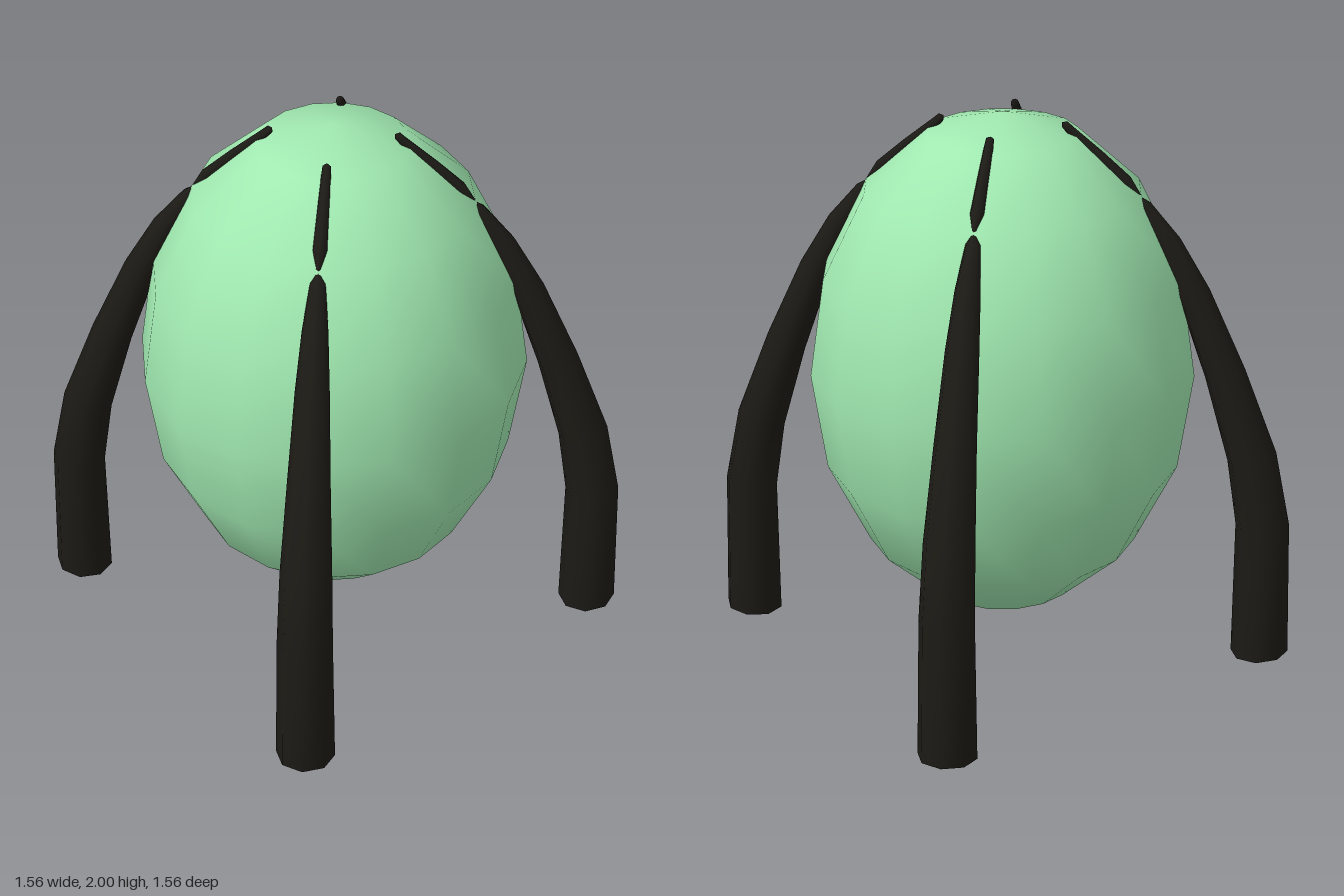
import * as THREE from 'three';

const SIDES = 8;
const FOOT_TILT = 0.07;

// Leg centre line and thickness from foot to tip: [x and z offset, y, radius]
const LEG = [
  [0.675, 0.01, 0.104], [0.67, 0.52, 0.096], [0.637, 0.78, 0.089], [0.563, 1.09, 0.073],
  [0.48, 1.38, 0.058], [0.415, 1.56, 0.044], [0.352, 1.69, 0.026], [0.341, 1.715, 0.01],
  [0.335, 1.73, 0.01], [0.305, 1.775, 0.024], [0.24, 1.86, 0.02], [0.165, 1.95, 0.016],
  [0.153, 1.967, 0.014], [0.147, 1.973, 0],
];

// Tapered eight-sided sweep lying in the local x-y plane
function legGeometry() {
  const path = LEG.map(([s, y]) => new THREE.Vector2(s * Math.SQRT2, y));
  const positions = [];
  const indices = [];
  path.forEach((p, i) => {
    const before = path[Math.max(i - 1, 0)];
    const after = path[Math.min(i + 1, path.length - 1)];
    const dir = i === 0
      ? new THREE.Vector2(-Math.sin(FOOT_TILT), Math.cos(FOOT_TILT))
      : after.clone().sub(before).normalize();
    const r = LEG[i][2];
    for (let j = 0; j < SIDES; j++) {
      const a = (j / SIDES) * Math.PI * 2;
      const out = r * Math.cos(a);
      positions.push(p.x + dir.y * out, p.y - dir.x * out, r * Math.sin(a));
      if (i < path.length - 1) {
        const k = (j + 1) % SIDES;
        const A = i * SIDES + j, B = i * SIDES + k;
        indices.push(A, A + SIDES, B, B, A + SIDES, B + SIDES);
      }
    }
  });
  const geometry = new THREE.BufferGeometry();
  geometry.setAttribute('position', new THREE.Float32BufferAttribute(positions, 3));
  geometry.setIndex(indices);
  geometry.computeVertexNormals();
  return geometry;
}

export function createModel() {
  const model = new THREE.Group();
  const green = new THREE.MeshStandardMaterial({ color: 0xa0e8b0 });
  const black = new THREE.MeshStandardMaterial({ color: 0x1c1a15 });

  // Egg-shaped body
  const bodyGeometry = new THREE.SphereGeometry(1, 16, 8).scale(0.688, 0.928, 0.688);
  const body = new THREE.Mesh(bodyGeometry, green);
  body.name = 'eggBody';
  body.position.y = 1.072;
  model.add(body);

  // Four legs on the diagonals, each closed by a flat sole
  const shaftGeometry = legGeometry();
  const [s, y, r] = LEG[0];
  const soleGeometry = new THREE.CircleGeometry(r, SIDES)
    .rotateX(Math.PI / 2).rotateZ(FOOT_TILT).translate(s * Math.SQRT2, y, 0);
  ['backLeft', 'backRight', 'frontRight', 'frontLeft'].forEach((place, i) => {
    const leg = new THREE.Group();
    leg.name = place + 'Leg';
    const shaft = new THREE.Mesh(shaftGeometry, black);
    shaft.name = 'legShaft';
    const sole = new THREE.Mesh(soleGeometry, black);
    sole.name = 'legSole';
    leg.add(shaft, sole);
    leg.rotation.y = Math.PI / 4 + i * Math.PI / 2;
    model.add(leg);
  });

  return model;
}
